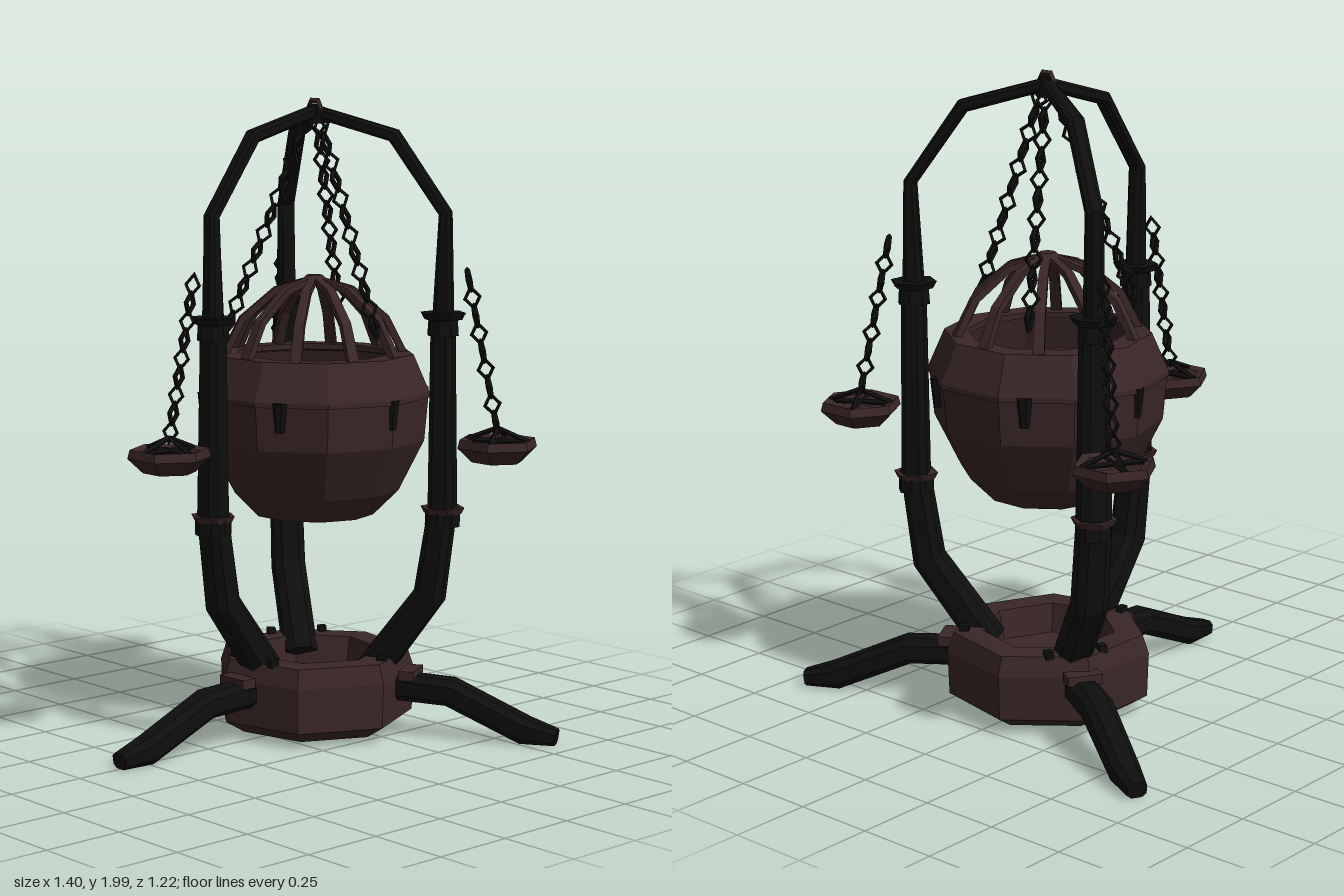
import * as THREE from 'three';

const iron = new THREE.MeshStandardMaterial({ color: 0x0e0e0e, flatShading: true });
iron.name = 'blackIron';
const rust = new THREE.MeshStandardMaterial({ color: 0x3a2626, flatShading: true });
rust.name = 'brownMetal';
const ember = new THREE.MeshStandardMaterial({ color: 0xc8762a, flatShading: true });
ember.name = 'emberOrange';

const V = (x, y, z) => new THREE.Vector3(x, y, z);

function add(parent, name, geometry, material, x = 0, y = 0, z = 0) {
  const mesh = new THREE.Mesh(geometry, material);
  mesh.name = name;
  mesh.position.set(x, y, z);
  parent.add(mesh);
  return mesh;
}

// Bar swept in the plane x = 0; stations are [z, y, halfWidth, halfThickness]
function sweep(stations, sides = 8) {
  const pos = [], index = [], n = stations.length;
  const squeeze = (v) => Math.sign(v) * Math.pow(Math.abs(v), 0.7);
  stations.forEach(([z, y, w, h], i) => {
    const a = stations[Math.max(i - 1, 0)], b = stations[Math.min(i + 1, n - 1)];
    const len = Math.hypot(b[0] - a[0], b[1] - a[1]);
    const tz = (b[0] - a[0]) / len, ty = (b[1] - a[1]) / len;
    for (let j = 0; j < sides; j++) {
      const t = ((j + 0.5) / sides) * Math.PI * 2;
      const s = squeeze(Math.sin(t)) * h;
      pos.push(squeeze(Math.cos(t)) * w, y + tz * s, z - ty * s);
    }
  });
  for (let i = 0; i < n - 1; i++) {
    for (let j = 0; j < sides; j++) {
      const k = (j + 1) % sides;
      const a = i * sides + j, b = i * sides + k;
      index.push(a, b, b + sides, a, b + sides, a + sides);
    }
  }
  const last = (n - 1) * sides;
  for (let j = 1; j < sides - 1; j++) {
    index.push(0, j + 1, j, last, last + j, last + j + 1);
  }
  const g = new THREE.BufferGeometry();
  g.setAttribute('position', new THREE.Float32BufferAttribute(pos, 3));
  g.setIndex(index);
  g.computeVertexNormals();
  return g;
}

function lathe(points, sides) {
  return new THREE.LatheGeometry(points.map(([r, y]) => new THREE.Vector2(r, y)), sides).rotateY(Math.PI / 2);
}

function rod(parent, name, a, b, radius, material) {
  const mesh = add(parent, name, new THREE.CylinderGeometry(radius, radius, a.distanceTo(b), 4), material);
  mesh.position.copy(a).lerp(b, 0.5);
  mesh.quaternion.setFromUnitVectors(V(0, 1, 0), b.clone().sub(a).normalize());
}

// Chain of diamond links, every second one turned a quarter
function chain(parent, name, from, to, count) {
  const group = new THREE.Group();
  group.name = name;
  const length = from.distanceTo(to), half = (length / count) * 0.58;
  const link = new THREE.TorusGeometry(half, 0.0085, 4, 4).scale(0.72, 1, 1);
  for (let i = 0; i < count; i++) {
    add(group, 'chainLink', link, iron, 0, -(i + 0.5) * (length / count), 0)
      .rotation.y = (i % 2) * Math.PI / 2 + 0.35;
  }
  group.position.copy(from);
  group.quaternion.setFromUnitVectors(V(0, -1, 0), to.clone().sub(from).normalize());
  parent.add(group);
}

// One third of the frame, facing +z: foot, post, collars and hanging pan
function frameArm(angle) {
  const arm = new THREE.Group();
  arm.name = 'frameArm';
  arm.rotation.y = angle;
  add(arm, 'foot', sweep([
    [0.22, 0.165, 0.05, 0.045], [0.45, 0.155, 0.05, 0.045],
    [0.69, 0.05, 0.045, 0.044], [0.79, 0.035, 0.032, 0.026]]), iron);
  add(arm, 'footStrap', new THREE.BoxGeometry(0.11, 0.03, 0.05), rust, 0, 0.205, 0.32);
  add(arm, 'post', sweep([
    [0.19, 0.2, 0.055, 0.055], [0.38, 0.46, 0.055, 0.05], [0.418, 0.73, 0.052, 0.043],
    [0.415, 1.33, 0.042, 0.036]]), iron);
  add(arm, 'topArch', sweep([
    [0.415, 1.3, 0.03, 0.034], [0.42, 1.65, 0.027, 0.02],
    [0.255, 1.885, 0.027, 0.022], [-0.01, 1.96, 0.022, 0.02]]), iron);

  // Collars
  add(arm, 'lowerCollar', new THREE.CylinderGeometry(0.07, 0.06, 0.02, 6), rust, 0, 0.73, 0.418);
  add(arm, 'lowerCollarSleeve', new THREE.CylinderGeometry(0.056, 0.056, 0.06, 8), iron, 0, 0.71, 0.418);
  add(arm, 'upperCollar', new THREE.CylinderGeometry(0.072, 0.06, 0.022, 6), iron, 0, 1.335, 0.415);
  add(arm, 'upperCollarSleeve', new THREE.CylinderGeometry(0.045, 0.05, 0.07, 8), iron, 0, 1.31, 0.415);

  // Bolts on the base rim
  for (const s of [-1, 1]) add(arm, 'rimBolt', new THREE.BoxGeometry(0.025, 0.025, 0.03), iron, s * 0.085, 0.265, 0.25);

  // Pan on its chain
  const pan = new THREE.Group();
  pan.name = 'hangingPan';
  pan.position.z = 0.59;
  add(pan, 'pan', lathe([
    [0, 0.89], [0.08, 0.89], [0.127, 0.935], [0.12, 0.962],
    [0.095, 0.955], [0.07, 0.92], [0, 0.92]], 6), rust);
  for (let i = 0; i < 4; i++) {
    const a = (i * Math.PI) / 2;
    const rim = V(Math.cos(a) * 0.1, 0.955, Math.sin(a) * 0.1);
    rod(pan, 'panHanger', rim, V(0, 0.995, 0), 0.008, iron);
    rod(pan, 'panCrossbar', rim, V(0, 0.955, 0), 0.009, iron);
  }
  arm.add(pan);
  chain(arm, 'panChain', V(0, 1.475, 0.49), V(0, 0.985, 0.59), 9);
  return arm;
}

function cauldron() {
  const group = new THREE.Group();
  group.name = 'cauldron';
  add(group, 'bowl', lathe([
    [0, 0.7], [0.19, 0.7], [0.27, 0.78], [0.35, 0.94], [0.362, 1.075],
    [0.33, 1.075], [0.32, 0.95], [0.24, 0.81], [0.16, 0.74], [0, 0.74]], 10), rust);
  add(group, 'rimBand', lathe([
    [0.33, 1.07], [0.367, 1.075], [0.367, 1.09], [0.315, 1.208],
    [0.245, 1.208], [0.245, 1.19], [0.3, 1.18], [0.33, 1.07]], 10), rust);

  // Open cage of curved ribs
  const rib = sweep([
    [0.285, 1.195, 0.022, 0.014], [0.225, 1.315, 0.02, 0.014],
    [0.12, 1.405, 0.018, 0.013], [0.01, 1.438, 0.014, 0.012]], 4);
  for (let i = 0; i < 10; i++) add(group, 'cageRib', rib, rust).rotation.y = (i * Math.PI) / 5;
  add(group, 'cageHub', new THREE.CylinderGeometry(0.025, 0.05, 0.025, 10), rust, 0, 1.438, 0);

  // Clasps around the seam
  for (let i = 0; i < 6; i++) {
    const a = (i * Math.PI) / 3;
    const clasp = add(group, 'clasp', new THREE.CylinderGeometry(0.024, 0.014, 0.09, 6), iron,
      Math.cos(a) * 0.348, 1.045, Math.sin(a) * 0.348);
    clasp.rotation.y = -a;
  }

  // Coals with glowing cracks
  add(group, 'coalBed', new THREE.CylinderGeometry(0.22, 0.16, 0.06, 10), iron, 0, 0.79, 0);
  for (let i = 0; i < 3; i++) {
    for (let j = -2; j <= 2; j++) {
      const a = (i * Math.PI * 2) / 3 + j * 0.13, r = 0.13 + (j % 2) * 0.015;
      add(group, 'emberCrack', new THREE.BoxGeometry(0.008, 0.008, 0.026), ember,
        Math.cos(a) * r, 0.823, Math.sin(a) * r).rotation.y = -a + j * 0.5;
    }
  }

  // Three chains up to the apex
  for (let i = 0; i < 3; i++) {
    const a = (i * Math.PI * 2) / 3;
    chain(group, 'cauldronChain', V(Math.cos(a) * 0.02, 1.94, Math.sin(a) * 0.02),
      V(Math.cos(a) * 0.28, 1.28, Math.sin(a) * 0.28), 12);
  }
  return group;
}

export function createModel() {
  const model = new THREE.Group();
  model.name = 'hangingCauldronStand';
  const body = new THREE.Group();
  body.name = 'stand';
  body.position.z = -0.19;
  model.add(body);

  // Hollow base
  add(body, 'base', lathe([
    [0, 0.02], [0.25, 0.02], [0.315, 0.06], [0.32, 0.2], [0.3, 0.26],
    [0.21, 0.26], [0.19, 0.17], [0, 0.15]], 7), rust);

  for (let i = 0; i < 3; i++) body.add(frameArm((i * Math.PI * 2) / 3));

  // Apex joint and ring
  add(body, 'apexJoint', new THREE.CylinderGeometry(0.022, 0.035, 0.06, 6), iron, 0, 1.95, 0);
  add(body, 'apexRing', new THREE.TorusGeometry(0.032, 0.009, 4, 6), rust, 0, 1.962, 0);

  body.add(cauldron());
  return model;
}
